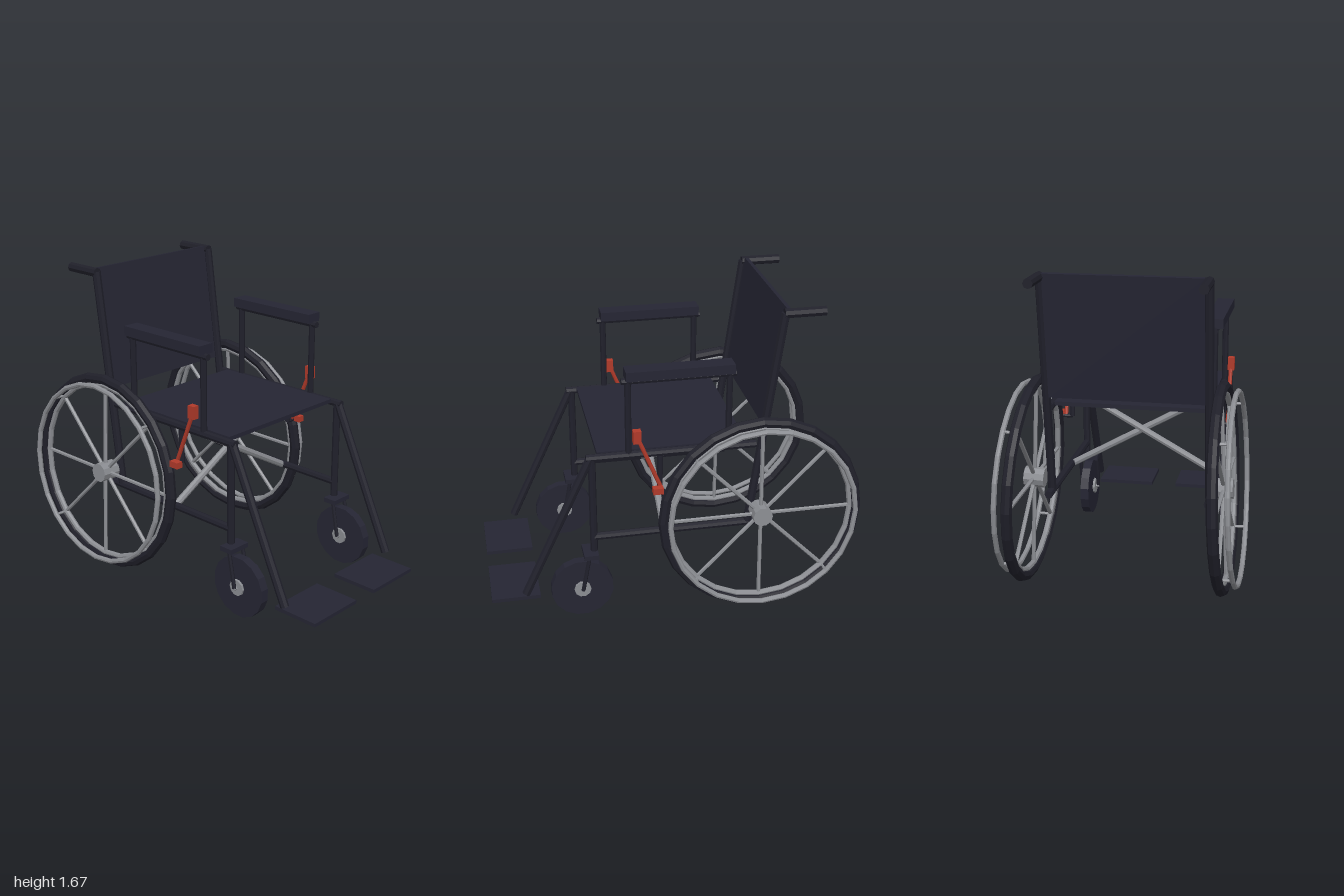
import * as THREE from 'three';

const mat = (name, color) => {
  const m = new THREE.MeshStandardMaterial({ color, flatShading: true });
  m.name = name;
  return m;
};

export function createModel() {
  const frame = mat('frame black', 0x20202b);
  const fabric = mat('upholstery black', 0x252533);
  const rubber = mat('tyre black', 0x1f1f29);
  const metal = mat('steel grey', 0x8b8d92);
  const red = mat('brake red', 0xb03a2a);
  const model = new THREE.Group();
  model.name = 'wheelchair';

  const add = (parent, name, geometry, material, x = 0, y = 0, z = 0) => {
    const m = new THREE.Mesh(geometry, material);
    m.name = name;
    m.position.set(x, y, z);
    parent.add(m);
    return m;
  };
  const box = (parent, name, size, pos, material) =>
    add(parent, name, new THREE.BoxGeometry(...size), material, ...pos);
  // Straight tube between two points
  const tube = (parent, name, a, b, r, material, sides = 8) => {
    const p = new THREE.Vector3(...a), q = new THREE.Vector3(...b);
    const m = add(parent, name, new THREE.CylinderGeometry(r, r, p.distanceTo(q), sides), material);
    m.position.copy(p).lerp(q, 0.5);
    m.quaternion.setFromUnitVectors(new THREE.Vector3(0, 1, 0), q.sub(p).normalize());
    return m;
  };
  // Ring around the x axis
  const ring = (parent, name, R, r, x, material) =>
    add(parent, name, new THREE.TorusGeometry(R, r, 8, 24).rotateY(Math.PI / 2), material, x);

  // Seat and sloping back
  box(model, 'seat', [0.81, 0.022, 0.785], [0, 0.95, 0.023], fabric);
  const back = box(model, 'backrest', [0.81, 0.662, 0.022], [0, 1.345, -0.522], fabric);
  back.rotation.x = -0.133;

  // Folding cross brace
  tube(model, 'crossBrace', [-0.41, 0.935, 0.065], [0.41, 0.475, 0.065], 0.019, metal);
  tube(model, 'crossBrace', [0.41, 0.935, 0.03], [-0.41, 0.475, 0.03], 0.019, metal);

  for (const s of [1, -1]) {
    const side = new THREE.Group();
    side.name = s > 0 ? 'leftSide' : 'rightSide';
    model.add(side);
    const x = 0.423 * s;

    // Side frame
    tube(side, 'seatRail', [x, 0.94, 0.475], [x, 0.94, -0.42], 0.021, frame);
    tube(side, 'lowerRail', [x, 0.473, 0.445], [x, 0.473, -0.47], 0.021, frame);
    tube(side, 'frontPost', [x, 0.94, 0.445], [x, 0.38, 0.445], 0.02, frame);
    tube(side, 'backPost', [x, 0.48, -0.388], [x, 1.655, -0.547], 0.023, frame);
    tube(side, 'pushHandle', [x, 1.652, -0.54], [x, 1.652, -0.755], 0.026, rubber);

    // Armrest
    for (const z of [0.254, -0.27])
      tube(side, 'armrestPost', [x, 0.94, z], [x, 1.35, z], 0.017, frame);
    tube(side, 'armrestRail', [x, 1.353, 0.287], [x, 1.353, -0.302], 0.018, frame);
    box(side, 'armrestPad', [0.092, 0.05, 0.556], [0.42 * s, 1.39, -0.01], fabric);

    // Footrest
    tube(side, 'footrestTube', [x, 0.94, 0.453], [x, 0.16, 0.817], 0.023, frame);
    box(side, 'footplate', [0.333, 0.02, 0.26], [0.241 * s, 0.12, 0.87], fabric);

    // Front caster
    box(side, 'forkCrown', [0.128, 0.026, 0.078], [0.421 * s, 0.377, 0.466], fabric);
    for (const dx of [-0.05, 0.05])
      tube(side, 'forkBlade', [x + dx, 0.372, 0.478], [x + dx, 0.172, 0.516], 0.011, frame, 6);
    const wheelTyre = add(side, 'casterTyre',
      new THREE.CylinderGeometry(0.168, 0.168, 0.048, 16).rotateZ(Math.PI / 2), fabric, x, 0.17, 0.516);
    wheelTyre.rotation.x = Math.PI / 16;
    tube(side, 'casterHub', [x - 0.037, 0.17, 0.516], [x + 0.037, 0.17, 0.516], 0.045, metal, 10);
    tube(side, 'casterAxle', [x - 0.055, 0.17, 0.516], [x + 0.055, 0.17, 0.516], 0.011, metal, 6);

    // Brake
    tube(side, 'brakeMount', [x, 0.94, 0.09], [x, 0.745, 0.09], 0.015, frame);
    tube(side, 'brakeArm', [x, 0.745, 0.09], [0.475 * s, 0.745, 0.09], 0.012, frame);
    tube(side, 'brakeLever', [0.46 * s, 0.75, 0.09], [0.46 * s, 1.04, 0.208], 0.011, red);
    box(side, 'brakeGrip', [0.036, 0.07, 0.042], [0.462 * s, 1.06, 0.216], red);
    box(side, 'brakeShoe', [0.038, 0.034, 0.055], [0.488 * s, 0.753, 0.112], red);

    // Cambered drive wheel
    const wheel = new THREE.Group();
    wheel.name = 'driveWheel';
    wheel.position.set(0.503 * s, 0.562, -0.44);
    wheel.rotation.z = 0.043 * s;
    side.add(wheel);
    ring(wheel, 'tyre', 0.526, 0.029, 0, rubber);
    ring(wheel, 'rim', 0.495, 0.016, 0, metal);
    ring(wheel, 'handRim', 0.502, 0.014, 0.072 * s, metal);
    tube(wheel, 'hub', [-0.058 * s, 0, 0], [0.05 * s, 0, 0], 0.053, metal, 10);
    for (let i = 0; i < 8; i++) {
      const a = i * Math.PI / 4, c = Math.cos(a), n = Math.sin(a);
      tube(wheel, 'spoke', [0, 0.03 * c, 0.03 * n], [0, 0.495 * c, 0.495 * n], 0.011, metal, 6);
      if (i % 2)
        tube(wheel, 'handRimMount', [0, 0.5 * c, 0.5 * n], [0.072 * s, 0.5 * c, 0.5 * n], 0.008, metal, 6);
    }
  }
  return model;
}
